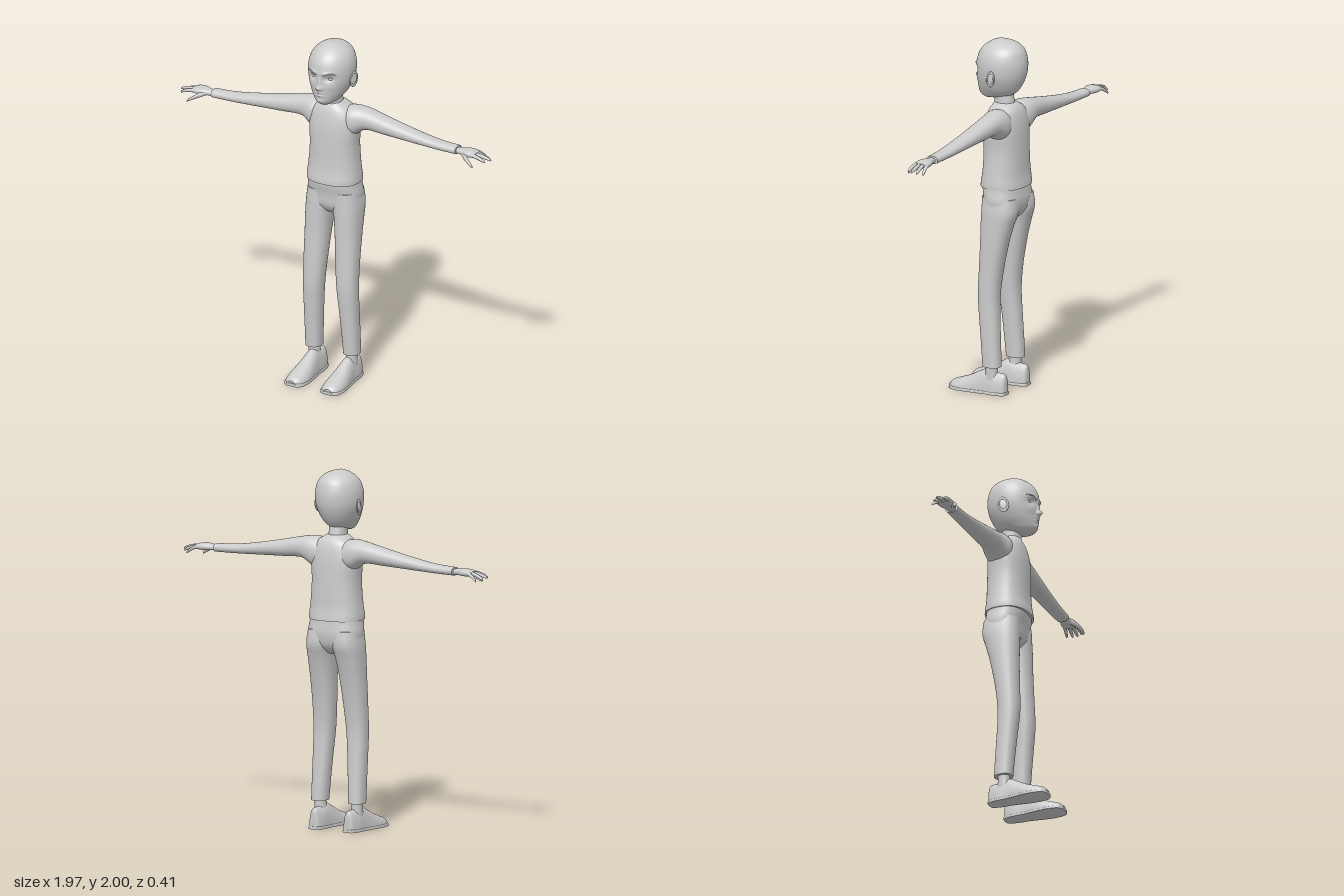
import * as THREE from 'three';

const material = new THREE.MeshStandardMaterial({ color: 0xcccccc });

// Smooth interpolation through a list of stations
function sample(st, i, f) {
  const p = (k) => st[Math.min(Math.max(k, 0), st.length - 1)];
  return st[i].map((_, c) => {
    const [a, b, d, e] = [p(i - 1)[c], p(i)[c], p(i + 1)[c], p(i + 2)[c]];
    return 0.5 * (2 * b + (d - a) * f + (2 * a - 5 * b + 4 * d - e) * f * f + (3 * b - a - 3 * d + e) * f * f * f);
  });
}

// Closed loft along an axis. Station: [t, aMin, aMax, bMin, bMax], with
// (a, b) = (y, z) on axis x, (z, x) on axis y, (x, y) on axis z.
function loft(axis, stations, { seg = 32, steps = 5, power = 2.2, rule } = {}) {
  const rows = [];
  for (let i = 0; i < stations.length - 1; i++) {
    for (let s = 0; s < steps; s++) rows.push(sample(stations, i, s / steps));
  }
  rows.push(stations[stations.length - 1]);
  const pos = [], idx = [];
  const round = (v) => Math.sign(v) * Math.abs(v) ** (2 / power);
  const push = (t, a, b) => {
    const v = axis === 'x' ? [t, a, b] : axis === 'y' ? [b, t, a] : [a, b, t];
    const p = new THREE.Vector3(...v);
    if (rule) rule(p);
    pos.push(p.x, p.y, p.z);
  };
  const ring = ([t, a0, a1, b0, b1]) => {
    for (let j = 0; j < seg; j++) {
      const w = (j / seg) * Math.PI * 2;
      push(t, (a0 + a1) / 2 + (a1 - a0) / 2 * round(Math.cos(w)), (b0 + b1) / 2 + (b1 - b0) / 2 * round(Math.sin(w)));
    }
  };
  rows.forEach(ring);
  for (let i = 0; i < rows.length - 1; i++) {
    for (let j = 0; j < seg; j++) {
      const k = (j + 1) % seg, p = i * seg, q = p + seg;
      idx.push(p + j, p + k, q + k, p + j, q + k, q + j);
    }
  }
  // end caps with their own vertices, so hems and cuffs stay sharp
  [rows[0], rows[rows.length - 1]].forEach((r, end) => {
    const base = pos.length / 3;
    ring(r);
    push(r[0], (r[1] + r[2]) / 2, (r[3] + r[4]) / 2);
    for (let j = 0; j < seg; j++) {
      const k = (j + 1) % seg;
      if (end) idx.push(base + seg, base + j, base + k);
      else idx.push(base + seg, base + k, base + j);
    }
  });
  const g = new THREE.BufferGeometry();
  g.setAttribute('position', new THREE.Float32BufferAttribute(pos, 3));
  g.setIndex(idx);
  g.computeVertexNormals();
  return g;
}

function mirrored(geometry) {
  const g = geometry.clone().scale(-1, 1, 1);
  const ix = g.index.array;
  for (let i = 0; i < ix.length; i += 3) [ix[i], ix[i + 1]] = [ix[i + 1], ix[i]];
  g.computeVertexNormals();
  return g;
}

// Symmetric section about x = 0: height, half width, back, front
const centred = (list) => list.map(([y, w, back, front]) => [y, back, front, -w, w]);

// Facial relief: [x, y, spreadX, spreadY, depth], mirrored across x = 0
const relief = [
  [0, 1.772, 0.014, 0.013, 0.025], [0, 1.8, 0.01, 0.03, 0.012], [0.015, 1.768, 0.007, 0.008, 0.009],
  [0.05, 1.828, 0.026, 0.015, -0.014], [0.045, 1.86, 0.035, 0.01, 0.007],
  [0, 1.743, 0.024, 0.006, 0.009], [0, 1.726, 0.02, 0.006, 0.008], [0, 1.7345, 0.028, 0.003, -0.004],
  [0, 1.69, 0.025, 0.012, 0.006], [0.06, 1.78, 0.025, 0.02, 0.004],
];
function sculptFace(p) {
  if (p.z < -0.03) return;
  const x = Math.abs(p.x);
  const fade = Math.min(1, (p.z + 0.03) / 0.05);
  let dz = 0;
  for (const [cx, cy, sx, sy, d] of relief) dz += d * Math.exp(-(((x - cx) / sx) ** 2) - ((p.y - cy) / sy) ** 2);
  p.z += dz * fade;
}

export function createModel() {
  const model = new THREE.Group();
  const add = (name, geometry) => {
    const m = new THREE.Mesh(geometry, material);
    m.name = name;
    model.add(m);
  };
  const pair = (name, geometry) => {
    add('left' + name, geometry);
    add('right' + name, mirrored(geometry));
  };

  // Head, neck and shirt
  add('head', loft('y', centred([
    [1.66, 0.025, 0, 0.055], [1.675, 0.055, -0.08, 0.076], [1.7, 0.077, -0.135, 0.087], [1.74, 0.102, -0.167, 0.09],
    [1.8, 0.124, -0.192, 0.091], [1.86, 0.13, -0.2, 0.092], [1.91, 0.123, -0.194, 0.082], [1.95, 0.104, -0.178, 0.058],
    [1.98, 0.07, -0.142, 0.02], [1.995, 0.035, -0.09, -0.012], [2, 0.01, -0.06, -0.03],
  ]), { seg: 128, steps: 8, power: 2, rule: sculptFace }));
  add('neck', loft('y', centred([
    [1.58, 0.058, -0.135, -0.012], [1.64, 0.05, -0.125, -0.012], [1.68, 0.049, -0.118, -0.006], [1.73, 0.05, -0.11, 0],
  ])));
  add('shirt', loft('y', centred([
    [1.175, 0.156, -0.203, 0.044], [1.2, 0.156, -0.2, 0.042], [1.25, 0.15, -0.194, 0.034], [1.32, 0.143, -0.192, 0.03],
    [1.4, 0.14, -0.19, 0.029], [1.49, 0.145, -0.187, 0.026], [1.56, 0.137, -0.178, 0.016], [1.605, 0.112, -0.165, 0.004],
    [1.63, 0.078, -0.147, -0.008], [1.645, 0.052, -0.128, -0.016],
  ]), { seg: 48, power: 2.4 }));

  // Eyes, brows and ears
  pair('Eye', new THREE.SphereGeometry(1, 20, 12).scale(0.019, 0.01, 0.016).translate(0.05, 1.827, 0.055));
  const brow = new THREE.CatmullRomCurve3([
    new THREE.Vector3(0.02, 1.85, 0.092), new THREE.Vector3(0.055, 1.862, 0.083), new THREE.Vector3(0.085, 1.858, 0.055),
  ]);
  pair('Brow', new THREE.TubeGeometry(brow, 12, 0.004, 6));
  const placeEar = (g) => g.rotateY(-0.25).rotateX(-0.2).translate(0.129, 1.8, -0.06);
  pair('Ear', placeEar(new THREE.SphereGeometry(1, 16, 12).scale(0.009, 0.04, 0.026)));
  pair('EarRim', placeEar(new THREE.TorusGeometry(1, 0.22, 8, 24).rotateY(Math.PI / 2).scale(0.02, 0.038, 0.025).translate(0.003, 0, 0)));

  // Sleeves
  pair('Sleeve', loft('x', [
    [0.04, 1.46, 1.61, -0.16, -0.02], [0.12, 1.455, 1.628, -0.172, -0.012], [0.2, 1.5, 1.62, -0.165, -0.035],
    [0.33, 1.497, 1.592, -0.154, -0.04], [0.5, 1.49, 1.558, -0.142, -0.046], [0.65, 1.484, 1.535, -0.133, -0.051],
    [0.775, 1.482, 1.528, -0.129, -0.055],
  ]));

  // Hands
  pair('Palm', loft('x', [
    [0.76, 1.487, 1.517, -0.112, -0.07], [0.8, 1.487, 1.521, -0.116, -0.063], [0.84, 1.485, 1.525, -0.132, -0.05],
    [0.875, 1.486, 1.522, -0.134, -0.05], [0.897, 1.493, 1.515, -0.122, -0.062],
  ], { power: 2.5 }));
  const finger = (name, points) => pair(name, loft('x', points.map(([x, y, z, r]) => [x, y - r, y + r, z - r, z + r]), { seg: 12, steps: 4 }));
  const fingers = { LittleFinger: [0.94, 1.467, -0.138, -0.123], RingFinger: [0.97, 1.477, -0.115, -0.102],
    MiddleFinger: [0.985, 1.485, -0.092, -0.083], IndexFinger: [0.966, 1.482, -0.058, -0.061] };
  for (const [name, [tip, tipY, tipZ, baseZ]] of Object.entries(fingers)) {
    const at = (f, r) => [0.865 + (tip - 0.865) * f, 1.506 + (tipY - 1.506) * f * f, baseZ + (tipZ - baseZ) * f, r];
    finger(name, [at(0, 0.011), at(0.4, 0.0105), at(0.75, 0.009), at(0.95, 0.006), at(1, 0.002)]);
  }
  finger('Thumb', [[0.81, 1.5, -0.075, 0.012], [0.845, 1.49, -0.047, 0.014], [0.875, 1.474, -0.031, 0.011],
    [0.898, 1.46, -0.024, 0.008], [0.907, 1.452, -0.021, 0.002]]);

  // Trousers
  add('trouserSeat', loft('y', centred([
    [0.985, 0.03, -0.13, -0.03], [1.0, 0.075, -0.155, -0.012], [1.04, 0.145, -0.185, 0.01],
    [1.1, 0.159, -0.197, 0.016], [1.16, 0.152, -0.192, 0.028], [1.21, 0.147, -0.188, 0.03],
  ]), { seg: 48, power: 2.5 }));
  pair('TrouserLeg', loft('y', [
    [0.155, -0.115, -0.01, 0.075, 0.165], [0.28, -0.108, 0, 0.068, 0.165], [0.4, -0.101, 0.011, 0.06, 0.165],
    [0.55, -0.096, 0.024, 0.048, 0.165], [0.7, -0.112, 0.02, 0.036, 0.165], [0.85, -0.142, 0.015, 0.026, 0.165],
    [0.96, -0.172, 0.015, 0.016, 0.165], [1.04, -0.196, 0.014, 0.004, 0.163], [1.12, -0.19, 0.012, 0.01, 0.152],
  ], { power: 2.4 }));

  // Ankles and shoes
  pair('Ankle', loft('y', [[0.07, -0.1, -0.02, 0.08, 0.15], [0.13, -0.094, -0.026, 0.088, 0.15], [0.2, -0.096, -0.026, 0.088, 0.152]]));
  const shoe = [ // z, inner x, outer x, height
    [-0.15, 0.1, 0.122, 0.085], [-0.14, 0.08, 0.142, 0.116], [-0.09, 0.068, 0.155, 0.122], [-0.03, 0.066, 0.158, 0.137],
    [0.02, 0.06, 0.165, 0.115], [0.08, 0.053, 0.174, 0.084], [0.135, 0.052, 0.176, 0.063],
    [0.18, 0.063, 0.166, 0.046], [0.2, 0.088, 0.142, 0.03],
  ];
  const toGround = (p) => { p.y = Math.max(p.y, 0); };
  pair('Shoe', loft('z', shoe.map(([z, a, b, h]) => [z, a, b, -h, h]), { power: 2.3, rule: toGround }));
  pair('Sole', loft('z', shoe.map(([z, a, b]) => [z * 1.02, a - 0.003, b + 0.003, -0.018, 0.018]), { power: 6, rule: toGround }));

  return model;
}
